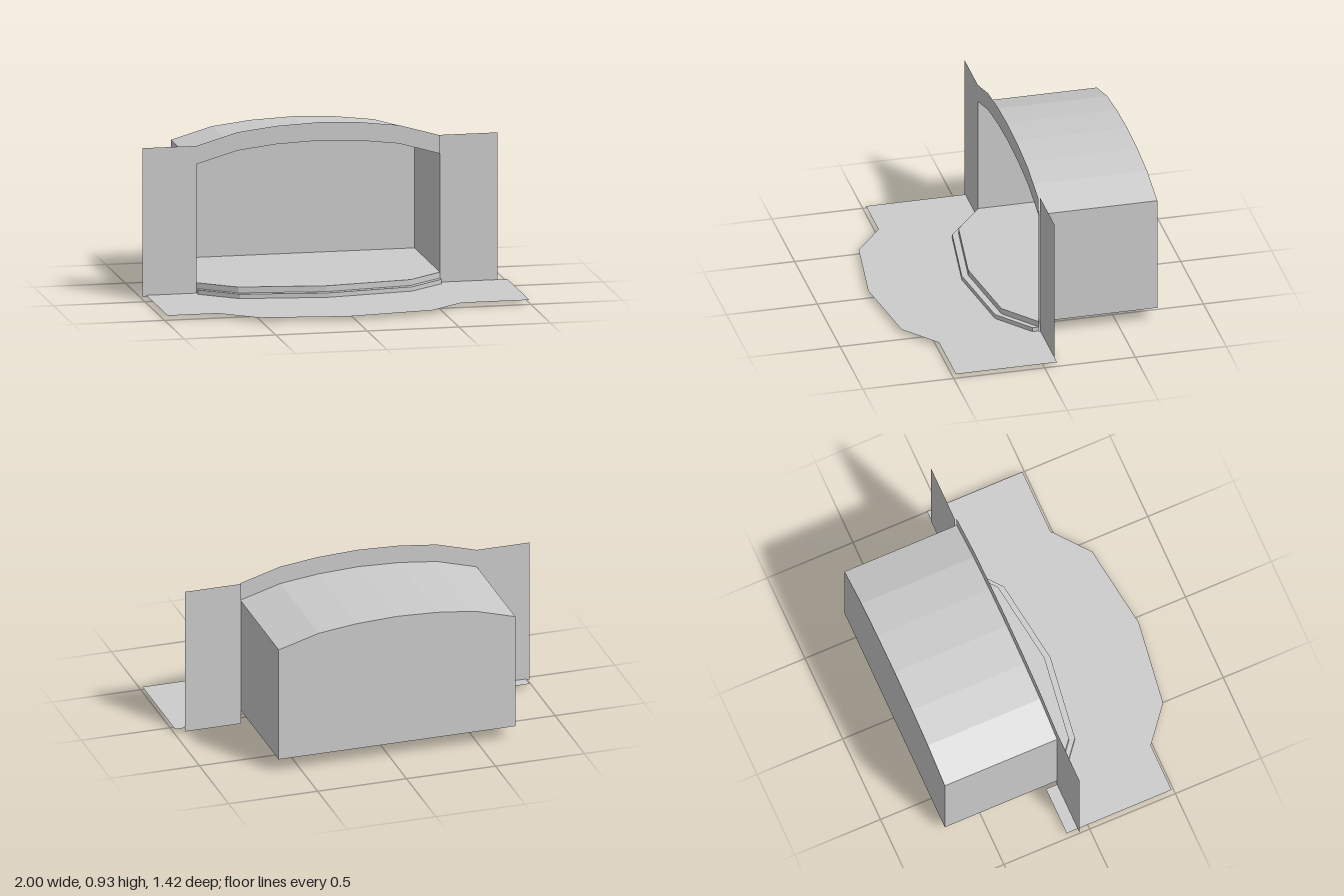
import * as THREE from 'three';

const material = new THREE.MeshStandardMaterial({
  color: 0xcccccc, side: THREE.DoubleSide, flatShading: true,
});

const X0 = -0.705, X1 = 0.625;      // stage side walls
const FRONT = -0.06, BACK = -0.715; // stage opening and back wall
const FLOOR = 0.078, TREAD = 0.046, GROUND = 0.022;

// Ceiling curve in (x, y)
const ceiling = [[X0, 0.725], [-0.48, 0.79], [-0.27, 0.815], [-0.04, 0.825],
  [0.19, 0.815], [0.40, 0.79], [X1, 0.725]];
// Bowed stage edge in (x, z)
const apron = [[X0, -0.063], [-0.51, 0.095], [-0.04, 0.16], [0.43, 0.095], [X1, -0.063]];
const shift = (points, d) => points.map(([a, b]) => [a, b + d]);
const stepEdge = shift(apron, 0.035);
const groundEdge = shift(apron, 0.55);

function addMesh(group, name, geometry) {
  const mesh = new THREE.Mesh(geometry, material);
  mesh.name = name;
  group.add(mesh);
}

// Flat outline standing at depth z
function upright(points, z) {
  const shape = new THREE.Shape(points.map(([x, y]) => new THREE.Vector2(x, y)));
  return new THREE.ShapeGeometry(shape).translate(0, 0, z);
}

// Flat outline lying at height y, given as (x, z)
function lying(points, y) {
  const shape = new THREE.Shape(points.map(([x, z]) => new THREE.Vector2(x, -z)));
  return new THREE.ShapeGeometry(shape).rotateX(-Math.PI / 2).translate(0, y, 0);
}

// Surface joining two 3D lines with equal point counts
function strip(a, b) {
  const pos = [];
  for (let i = 0; i < a.length - 1; i++) {
    pos.push(...a[i], ...a[i + 1], ...b[i + 1], ...a[i], ...b[i + 1], ...b[i]);
  }
  const geometry = new THREE.BufferGeometry();
  geometry.setAttribute('position', new THREE.Float32BufferAttribute(pos, 3));
  geometry.computeVertexNormals();
  return geometry;
}

const atDepth = (points, z) => points.map(([x, y]) => [x, y, z]);
const atHeight = (points, y) => points.map(([x, z]) => [x, y, z]);
const rectangle = (x0, x1, y0, y1) => [[x0, y0], [x1, y0], [x1, y1], [x0, y1]];

export function createModel() {
  const group = new THREE.Group();
  group.name = 'stage';

  // Stage house
  addMesh(group, 'backWall', upright([[X0, FLOOR], [X1, FLOOR], ...[...ceiling].reverse()], BACK));
  addMesh(group, 'roof', strip(atDepth(ceiling, FRONT), atDepth(ceiling, BACK)));
  addMesh(group, 'leftWall', strip([[X1, FLOOR, FRONT], [X1, FLOOR, BACK]],
    [[X1, 0.725, FRONT], [X1, 0.725, BACK]]));
  addMesh(group, 'rightWall', strip([[X0, FLOOR, BACK], [X0, FLOOR, FRONT]],
    [[X0, 0.725, BACK], [X0, 0.725, FRONT]]));
  addMesh(group, 'stageFloor', lying([[X1, BACK], [X0, BACK], ...apron], FLOOR));

  // Arched band over the opening and the two wing panels
  addMesh(group, 'archBand', strip(atDepth(ceiling, FRONT), atDepth(shift(ceiling, 0.1), FRONT)));
  addMesh(group, 'leftWing', upright(rectangle(X1, 0.94, 0, 0.825), -0.07));
  addMesh(group, 'rightWing', upright(rectangle(-1, X0, 0.015, 0.825), FRONT));

  // Bowed step along the stage edge
  addMesh(group, 'upperRiser', strip(atHeight(apron, TREAD), atHeight(apron, FLOOR)));
  addMesh(group, 'stepTread', strip(atHeight(stepEdge, TREAD), atHeight(apron, TREAD)));
  addMesh(group, 'lowerRiser', strip(atHeight(stepEdge, GROUND), atHeight(stepEdge, TREAD)));
  for (const x of [X0, X1]) {
    addMesh(group, 'stepEnd', strip([[x, 0.015, -0.063], [x, 0.015, -0.028]],
      [[x, TREAD, -0.063], [x, TREAD, -0.028]]));
  }

  // Ground in front, cut out along the step
  addMesh(group, 'ground', lying([
    [-0.98, -0.125], [X0, -0.125], ...stepEdge, [X1, -0.07], [0.995, -0.07], [0.995, 0.487],
    ...[...groundEdge].reverse(), [-0.98, 0.487],
  ], GROUND));

  return group;
}
